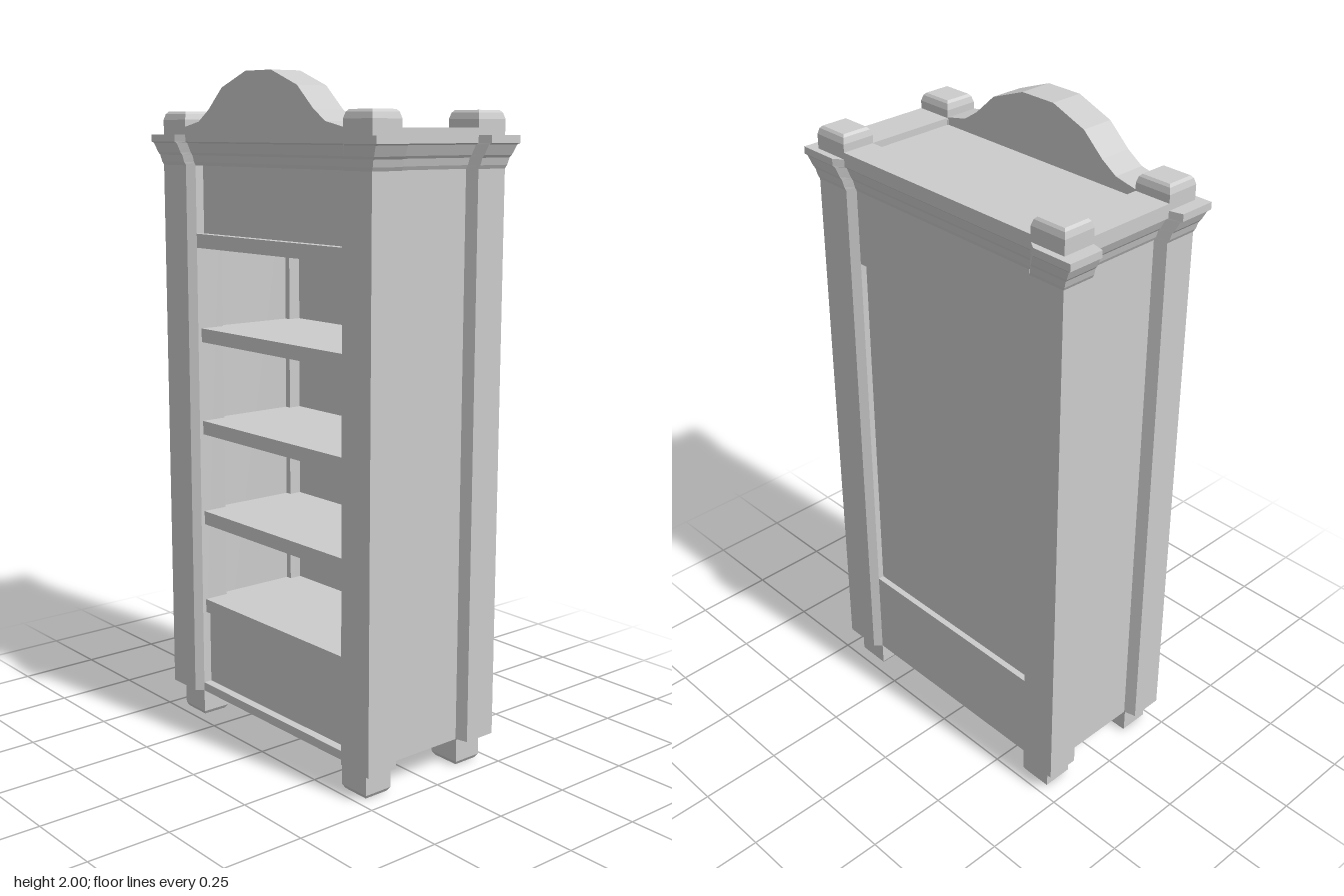
import * as THREE from 'three';

const material = new THREE.MeshStandardMaterial({ color: 0xcccccc, flatShading: true });

// Joins horizontal outlines (lists of [x, z]) at rising heights and caps both ends
function loft(levels) {
  const rings = levels.map(([y, outline]) => {
    const pts = outline.map(([x, z]) => new THREE.Vector2(x, z));
    if (THREE.ShapeUtils.isClockWise(pts)) pts.reverse();
    return pts.map((p) => [p.x, y, p.y]);
  });
  const out = [];
  const tri = (a, b, c) => out.push(...a, ...b, ...c);
  for (let k = 0; k < rings.length - 1; k++) {
    const lo = rings[k], hi = rings[k + 1], n = lo.length;
    for (let i = 0; i < n; i++) {
      const j = (i + 1) % n;
      tri(lo[i], hi[i], lo[j]);
      tri(lo[j], hi[i], hi[j]);
    }
  }
  const first = rings[0], last = rings[rings.length - 1];
  const caps = (r) => THREE.ShapeUtils.triangulateShape(r.map((p) => new THREE.Vector2(p[0], p[2])), []);
  caps(first).forEach(([a, b, c]) => tri(first[a], first[b], first[c]));
  caps(last).forEach(([a, b, c]) => tri(last[a], last[c], last[b]));
  const geo = new THREE.BufferGeometry();
  geo.setAttribute('position', new THREE.Float32BufferAttribute(out, 3));
  geo.computeVertexNormals();
  return geo;
}

const rect = (x0, x1, z0, z1) => [[x0, z0], [x1, z0], [x1, z1], [x0, z1]];

// Outer edge of one corner post; f pushes it outward for the crown
const corner = (f) => [
  [0.13 + 0.01 * f, 0.44 + 0.035 * f],
  [0.14 + 0.01 * f, 0.477 + 0.038 * f],
  [0.243 + 0.019 * f, 0.477 + 0.038 * f],
  [0.243 + 0.019 * f, 0.36 + 0.03 * f],
  [0.222 + 0.02 * f, 0.34 + 0.022 * f],
];
const mirror = (pts, sx, sz) => pts.map(([x, z]) => [x * sx, z * sz]);

// Full cabinet outline with all four posts
const outline = (f) => {
  const c = corner(f), r = [...c].reverse();
  return [...c, ...mirror(r, 1, -1), ...mirror(c, -1, -1), ...mirror(r, -1, 1)];
};

export function createModel() {
  const group = new THREE.Group();
  const add = (name, geo) => {
    const mesh = new THREE.Mesh(geo, material);
    mesh.name = name;
    group.add(mesh);
    return mesh;
  };
  const box = (name, x0, x1, y0, y1, z0, z1) => {
    const mesh = add(name, new THREE.BoxGeometry(x1 - x0, y1 - y0, z1 - z0));
    mesh.position.set((x0 + x1) / 2, (y0 + y1) / 2, (z0 + z1) / 2);
  };

  // Corner posts, feet and cap blocks
  for (const sx of [-1, 1]) {
    for (const sz of [-1, 1]) {
      const at = (pts) => mirror(pts, sx, sz);
      const post = at([...corner(0), [0.13, 0.34]]);
      add('cornerPost', loft([[0.083, post], [1.74, post]]));
      const footTop = at(rect(0.13, 0.222, 0.34, 0.443));
      add('foot', loft([
        [0, at(rect(0.137, 0.215, 0.348, 0.435))],
        [0.012, footTop],
        [0.09, footTop],
      ]));
      const cap = at(rect(0.139, 0.242, 0.361, 0.476));
      add('capBlock', loft([
        [1.82, cap],
        [1.868, cap],
        [1.885, at(rect(0.144, 0.237, 0.366, 0.471))],
        [1.892, at(rect(0.15, 0.231, 0.373, 0.464))],
      ]));
    }
  }

  // End walls and base
  for (const s of [-1, 1]) {
    const [z0, z1] = s > 0 ? [0.36, 0.44] : [-0.44, -0.36];
    box('endWall', -0.135, 0.135, 0.083, 1.74, z0, z1);
  }
  box('base', -0.222, 0.222, 0.083, 0.11, -0.4, 0.4);

  // Closed side: recessed panel between two flush rails
  box('backPanel', 0.17, 0.203, 0.3, 1.6, -0.36, 0.36);
  box('backLowerRail', 0.17, 0.222, 0.083, 0.37, -0.35, 0.35);
  box('backUpperRail', 0.17, 0.222, 1.51, 1.74, -0.35, 0.35);

  // Open side: recessed plinth and frieze panels
  box('plinthPanel', -0.195, -0.17, 0.1, 0.37, -0.36, 0.36);
  box('friezePanel', -0.195, -0.17, 1.5, 1.74, -0.36, 0.36);

  // Cabinet floor, shelves and ceiling
  for (let i = 0; i < 5; i++) {
    const y = 0.385 + i * 0.287;
    box(i === 4 ? 'ceiling' : 'shelf', i === 4 ? -0.222 : -0.21, 0.18, y - 0.042, y, -0.365, 0.365);
  }

  // Stepped crown that follows the posts
  const profile = [
    [1.735, 0], [1.745, 0.15], [1.765, 0.3], [1.772, 0.45],
    [1.8, 0.8], [1.804, 1], [1.825, 1],
  ];
  add('crown', loft(profile.map(([y, f]) => [y, outline(f)])));

  // Raised rails on the top between the cap blocks
  box('topBackRail', 0.14, 0.242, 1.82, 1.845, -0.362, 0.362);
  for (const s of [-1, 1]) {
    const [z0, z1] = s > 0 ? [0.362, 0.476] : [-0.476, -0.362];
    box('topEndRail', -0.14, 0.14, 1.82, 1.845, z0, z1);
  }

  // Arched pediment over the open side
  const half = [[0.362, 1.82], [0.362, 1.847], [0.29, 1.862], [0.24, 1.895], [0.172, 1.957], [0.058, 2]];
  const points = [...half, ...mirror([...half].reverse(), -1, 1)];
  const arch = new THREE.Shape(points.map(([z, y]) => new THREE.Vector2(z, y)));
  const pediment = new THREE.ExtrudeGeometry(arch, { depth: 0.102, bevelEnabled: false });
  pediment.rotateY(-Math.PI / 2);
  pediment.translate(-0.141, 0, 0);
  add('pediment', pediment);

  return group;
}
